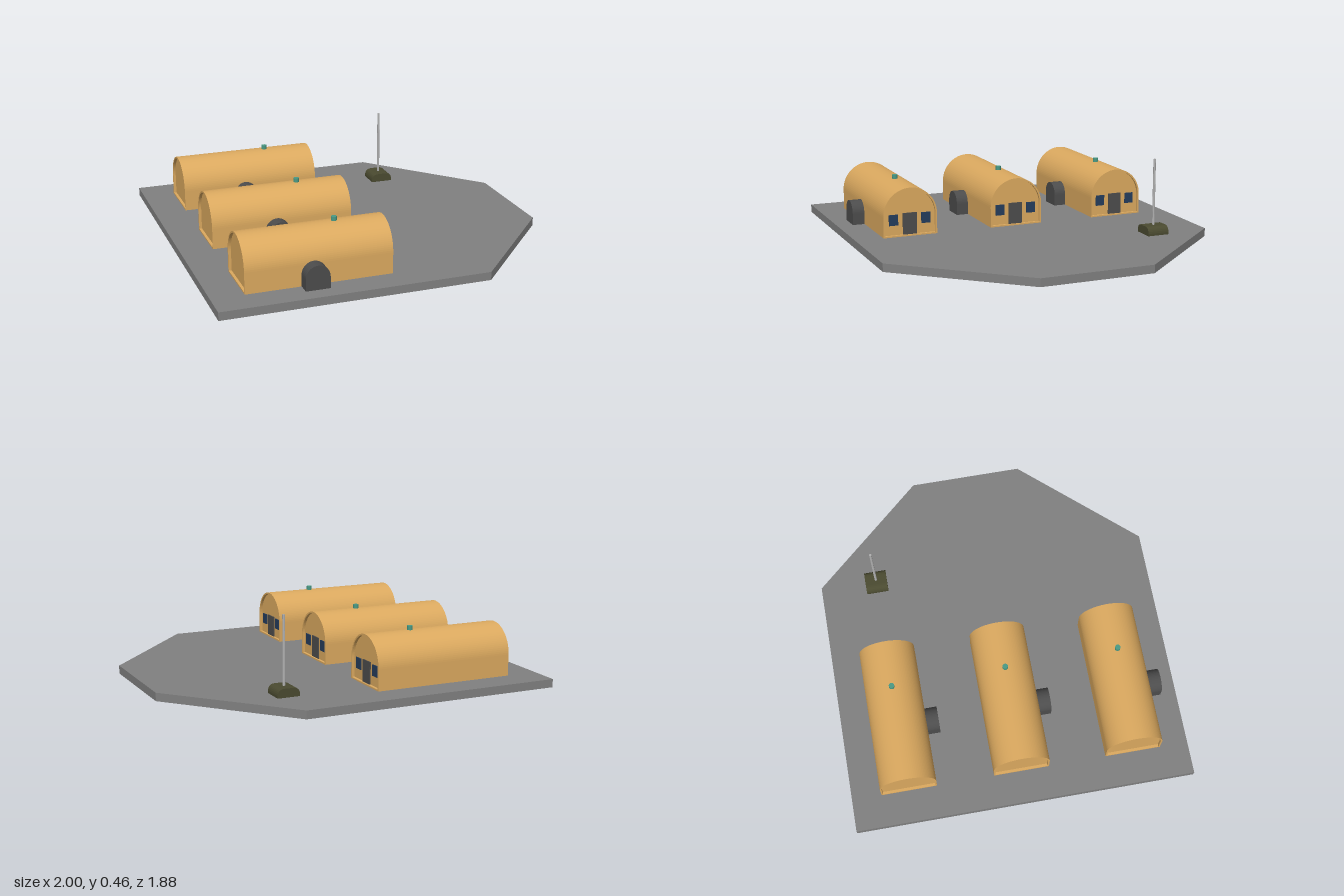
import * as THREE from 'three';

const GROUND = 0.045;

const mat = (color) => new THREE.MeshStandardMaterial({ color, flatShading: true });
const mats = {
  slab: mat(0x808080),
  shell: mat(0xdba95f),
  dark: mat(0x4c4c4c),
  glass: mat(0x243c5c),
  vent: mat(0x4a9a84),
  olive: mat(0x4a4a30),
  pole: mat(0xb0b0b0),
};

function add(parent, name, geometry, material, x = 0, y = 0, z = 0) {
  const mesh = new THREE.Mesh(geometry, material);
  mesh.name = name;
  mesh.position.set(x, y, z);
  parent.add(mesh);
  return mesh;
}

// Upright walls closed by a half-round top, standing on y = bottom
function arch(Type, radius, spring, bottom = 0) {
  const s = new Type();
  s.moveTo(-radius, bottom);
  s.lineTo(radius, bottom);
  s.lineTo(radius, spring);
  s.absarc(0, spring, radius, 0, Math.PI, false);
  s.closePath();
  return s;
}

const extrude = (shape, depth, curveSegments = 12) =>
  new THREE.ExtrudeGeometry(shape, { depth, curveSegments, bevelEnabled: false });

function createHut() {
  const hut = new THREE.Group();
  const x0 = -0.825, x1 = -0.04, inset = 0.015;
  const R = 0.154, r = 0.145, spring = 0.116;

  // Curved shell, open at both ends around the recessed end walls
  const shell = arch(THREE.Shape, R, spring);
  shell.holes.push(arch(THREE.Path, r, spring, 0.008));
  add(hut, 'hutShell', extrude(shell, x1 - x0, 24).rotateY(Math.PI / 2), mats.shell, x0);

  // End walls
  const wall = extrude(arch(THREE.Shape, r, spring, 0.008), 0.012, 24).rotateY(Math.PI / 2);
  add(hut, 'backWall', wall, mats.shell, x0 + inset);
  add(hut, 'frontWall', wall, mats.shell, x1 - inset - 0.012);

  // Door and windows on the +x end
  const face = x1 - inset;
  add(hut, 'door', new THREE.BoxGeometry(0.012, 0.12, 0.08), mats.dark, face, 0.068, 0);
  for (const side of [-1, 1]) {
    add(hut, 'window', new THREE.BoxGeometry(0.012, 0.06, 0.052), mats.glass, face, 0.093, side * 0.093);
  }

  // Arched side entrance
  add(hut, 'sideEntrance', extrude(arch(THREE.Shape, 0.065, 0.065), 0.08), mats.dark, -0.465, 0, 0.142);

  // Roof vent
  add(hut, 'roofVent', new THREE.CylinderGeometry(0.015, 0.015, 0.04, 16), mats.vent, -0.305, 0.272, 0);
  return hut;
}

export function createModel() {
  const model = new THREE.Group();

  // Ground slab with two cut corners
  const outline = [[-1, -0.94], [0.44, -0.94], [1, -0.315], [1, 0.315], [0.44, 0.94], [-1, 0.94]];
  const slab = new THREE.Shape(outline.map(([x, y]) => new THREE.Vector2(x, y)));
  add(model, 'groundSlab', extrude(slab, GROUND).rotateX(-Math.PI / 2), mats.slab);

  // Row of huts
  for (const z of [-0.622, 0.004, 0.63]) {
    const hut = createHut();
    hut.name = 'hut';
    hut.position.set(0, GROUND, z);
    model.add(hut);
  }

  // Flagpole on a rounded mound
  const flagpole = new THREE.Group();
  flagpole.name = 'flagpole';
  flagpole.position.set(0.42, GROUND, -0.622);
  model.add(flagpole);
  const mound = new THREE.Shape();
  mound.moveTo(-0.062, 0);
  mound.lineTo(0.062, 0);
  mound.lineTo(0.062, 0.013);
  mound.quadraticCurveTo(0.058, 0.046, 0.028, 0.047);
  mound.lineTo(-0.028, 0.047);
  mound.quadraticCurveTo(-0.058, 0.046, -0.062, 0.013);
  mound.closePath();
  add(flagpole, 'poleBase', extrude(mound, 0.124, 6), mats.olive, 0, 0, -0.062);
  add(flagpole, 'pole', new THREE.CylinderGeometry(0.007, 0.007, 0.375, 12), mats.pole, 0, 0.2275, 0);

  return model;
}
